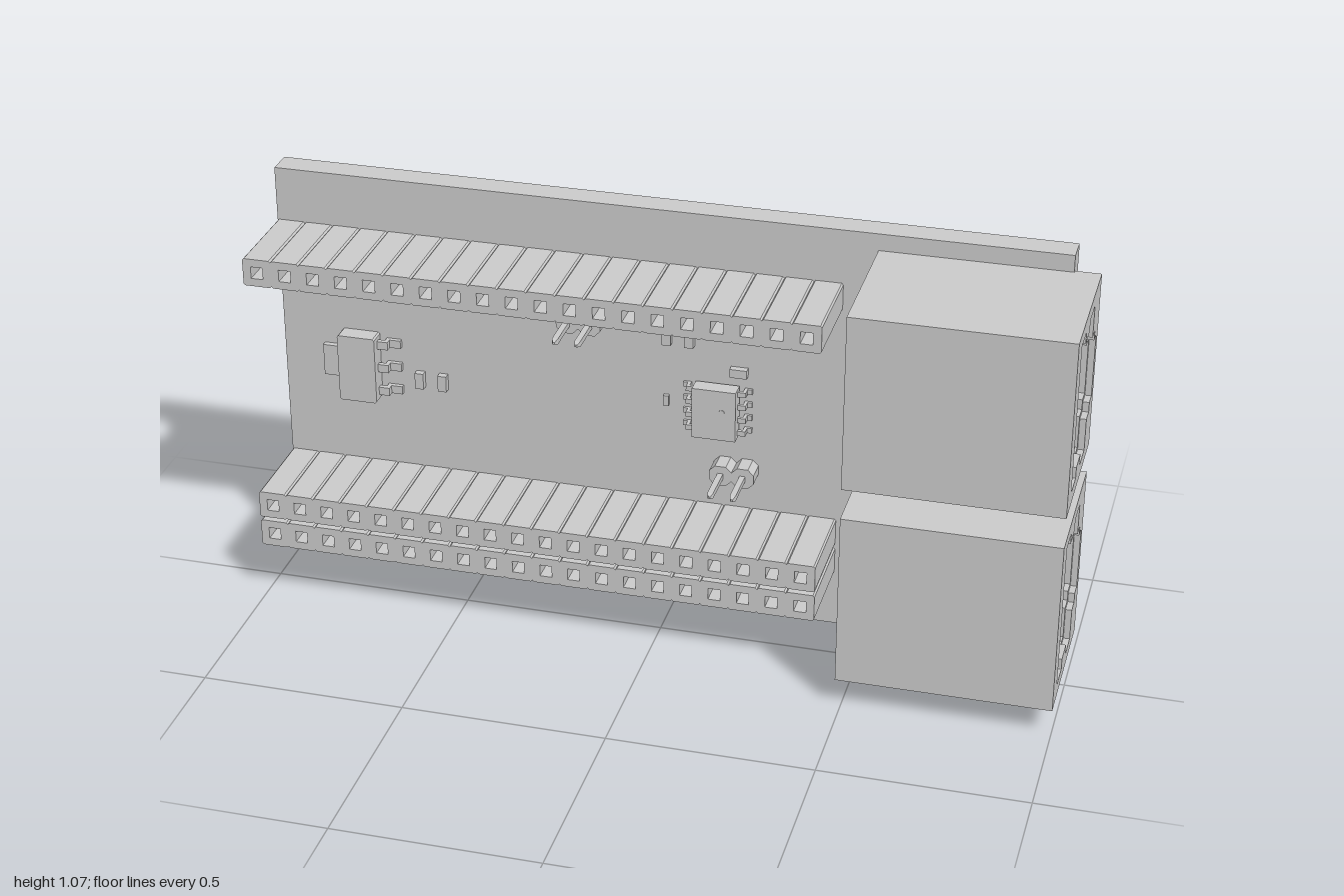
import * as THREE from 'three';

const MAT = new THREE.MeshStandardMaterial({ color: 0xcccccc, flatShading: true });
const BACK = -0.2, FACE = -0.133; // board surfaces

function add(parent, name, geo, x = 0, y = 0, z = 0) {
  const m = new THREE.Mesh(geo, MAT);
  m.name = name;
  m.position.set(x, y, z);
  parent.add(m);
  return m;
}

// Box centred on x, y and spanning z0..z1
function slab(parent, name, x, y, w, h, z0, z1) {
  return add(parent, name, new THREE.BoxGeometry(w, h, z1 - z0), x, y, (z0 + z1) / 2);
}

function group(parent, name, x = 0, y = 0) {
  const g = new THREE.Group();
  g.name = name;
  g.position.set(x, y, 0);
  parent.add(g);
  return g;
}

const shapeOf = pts => new THREE.Shape(pts.map(p => new THREE.Vector2(p[0], p[1])));
const extrude = (shape, depth) => new THREE.ExtrudeGeometry(shape, { depth, bevelEnabled: false });

// Rectangle with cut corners
function cutRect(w, h, c) {
  const a = w / 2, b = h / 2;
  return shapeOf([[-a + c, -b], [a - c, -b], [a, -b + c], [a, b - c],
    [a - c, b], [-a + c, b], [-a, b - c], [-a, -b + c]]);
}

// Solder tail with a tapered tip, pointing out of the back of the board
function tail(parent, x, y, r, end) {
  const tip = 0.006;
  const geo = new THREE.LatheGeometry([[0, 0], [r, 0], [r, BACK - end - tip + 0.01],
    [r * 0.6, BACK - end + 0.01], [0, BACK - end + 0.01]].map(p => new THREE.Vector2(...p)), 10);
  geo.rotateX(-Math.PI / 2);
  return add(parent, 'solderTail', geo, x, y, BACK + 0.01);
}

// Row of sockets, each with a square hole
function socketStrip(parent, y) {
  const g = group(parent, 'socketStrip', 0, y);
  const pitch = 1.405 / 20;
  const shape = cutRect(pitch, 0.07, 0.004);
  const s = 0.015;
  shape.holes.push(new THREE.Path([[-s, -s], [-s, s], [s, s], [s, -s]].map(p => new THREE.Vector2(...p))));
  const cell = extrude(shape, 0.16);
  const base = extrude(cutRect(pitch, 0.07, 0.004), 0.075);
  for (let i = 0; i < 20; i++) {
    const x = -1 + pitch * (i + 0.5);
    add(g, 'socket', cell, x, 0, -0.06);
    add(g, 'socketBase', base, x, 0, FACE);
    tail(g, x, 0, 0.01, -0.215);
  }
}

// Two-pin jumper header
function pinHeader(parent, x, y) {
  const g = group(parent, 'pinHeader', x, y);
  const body = extrude(cutRect(0.055, 0.052, 0.014), 0.053);
  const pin = new THREE.CylinderGeometry(0.01, 0.01, 0.135, 4, 1).rotateY(Math.PI / 4).rotateX(Math.PI / 2);
  const tip = new THREE.CylinderGeometry(0.004, 0.01, 0.012, 4).rotateY(Math.PI / 4).rotateX(Math.PI / 2);
  for (const px of [-0.0275, 0.0275]) {
    add(g, 'pinBody', body, px, 0, FACE);
    add(g, 'pin', pin, px, 0, -0.05);
    add(g, 'pinTip', tip, px, 0, 0.0235);
    tail(g, px, 0, 0.01, -0.213);
  }
}

// Stepped opening of a jack, inset by d; first coordinate runs towards -z
function portOutline(d) {
  const top = [[-0.166 + d, 0.185 - d], [-0.096 - d, 0.185 - d], [-0.096 - d, 0.157 - d],
    [-0.031 + d, 0.157 - d], [-0.031 + d, 0.185 - d], [0.042 - d, 0.185 - d],
    [0.042 - d, 0.105 - d], [0.079 - d, 0.105 - d], [0.079 - d, 0.08 - d], [0.113 - d, 0.08 - d]];
  const low = top.map(([u, v]) => [u, -v]).reverse();
  return [...top, ...low].map(p => new THREE.Vector2(...p));
}

function networkJack(parent, y) {
  const g = group(parent, 'networkJack', 0, y);
  const wall = (x0, x1, inset) => {
    const s = shapeOf([[-0.226, -0.219], [0.141, -0.219], [0.141, 0.219], [-0.226, 0.219]]);
    if (inset !== null) s.holes.push(new THREE.Path(portOutline(inset)));
    add(g, 'jackShell', extrude(s, x1 - x0).rotateY(Math.PI / 2), x0);
  };
  wall(0.485, 0.64, null);
  wall(0.64, 0.985, 0.01);
  wall(0.985, 1, 0);

  // Raised ribs on the rear face
  for (const z of [0.037, -0.1])
    add(g, 'rearRib', new THREE.BoxGeometry(0.012, 0.31, 0.035), 0.485, 0, z);

  // Eight sloping contacts and their staggered solder tails
  for (let i = 0; i < 8; i++) {
    const k = i - 3.5;
    const wire = add(g, 'contact', new THREE.BoxGeometry(0.25, 0.01, 0.008), 0.84, k * 0.0287, 0.115);
    wire.rotation.y = -Math.atan2(0.085, 0.23);
    tail(g, i % 2 ? 0.535 : 0.605, k * 0.0355, 0.0125, -0.225);
  }

  // Split locating posts and shield tabs
  for (const side of [-1, 1]) {
    for (const half of [-1, 1]) {
      const s = new THREE.Shape();
      const a = half > 0 ? -Math.PI / 2 : Math.PI / 2;
      s.absarc(0, 0, 0.04, a, a + Math.PI, false);
      s.closePath();
      const geo = new THREE.ExtrudeGeometry(s, { depth: 0.08, curveSegments: 14,
        bevelSize: 0.004, bevelThickness: 0.006, bevelSegments: 1 });
      add(g, 'locatingPost', geo, 0.784 + half * 0.0095, side * 0.159, -0.219);
    }
    slab(g, 'shieldTab', 0.866, side * 0.216, 0.034, 0.008, -0.225, FACE);
  }
}

function chip(parent) {
  const g = group(parent, 'controlChip', 0.108, 0.565);
  slab(g, 'chipBody', 0, 0, 0.108, 0.132, -0.126, -0.085);
  for (let i = 0; i < 4; i++)
    for (const s of [-1, 1]) {
      const y = (i - 1.5) * 0.035;
      slab(g, 'chipLead', s * 0.06, y, 0.024, 0.013, -0.115, -0.106);
      slab(g, 'chipLead', s * 0.07, y, 0.008, 0.013, FACE, -0.106);
      slab(g, 'chipFoot', s * 0.077, y, 0.016, 0.013, FACE, -0.126);
    }
  // Orientation mark
  add(g, 'orientationDot', new THREE.CylinderGeometry(0.007, 0.007, 0.004, 12).rotateX(Math.PI / 2), 0.02, 0.01, -0.085);
}

function regulator(parent) {
  const g = group(parent, 'regulator', -0.797, 0.568);
  const pos = extrude(cutRect(0.096, 0.176, 0.004), 0.045);
  add(g, 'regulatorBody', pos, 0, 0, -0.13);
  slab(g, 'regulatorTab', -0.07, 0, 0.056, 0.082, FACE, -0.118);
  for (const y of [-0.063, 0, 0.063]) {
    slab(g, 'regulatorLead', 0.06, y, 0.03, 0.021, -0.118, -0.106);
    slab(g, 'regulatorLead', 0.07, y, 0.01, 0.021, FACE, -0.106);
    slab(g, 'regulatorFoot', 0.086, y, 0.034, 0.021, FACE, -0.122);
  }
}

export function createModel() {
  const model = new THREE.Group();
  model.name = 'networkBoard';
  slab(model, 'circuitBoard', -0.031, 0.533, 1.938, 1.066, BACK, FACE);

  for (const y of [0.895, 0.26, 0.18]) socketStrip(model, y);
  for (const y of [0.805, 0.29]) networkJack(model, y);
  for (const [x, y] of [[-0.226, 0.767], [0.155, 0.404], [0.576, 0.034]]) pinHeader(model, x, y);
  chip(model);
  regulator(model);

  // Small surface components: x, y, width, height
  for (const [x, y, w, h] of [[-0.647, 0.54, 0.022, 0.042], [-0.588, 0.54, 0.022, 0.042],
    [-0.018, 0.742, 0.022, 0.042], [0.038, 0.742, 0.022, 0.042], [0.16, 0.667, 0.042, 0.022],
    [-0.02, 0.568, 0.013, 0.027], [0.453, 0.043, 0.013, 0.027]])
    slab(model, 'surfaceComponent', x, y, w, h, FACE, FACE + Math.min(w, h) * 0.8);

  return model;
}
